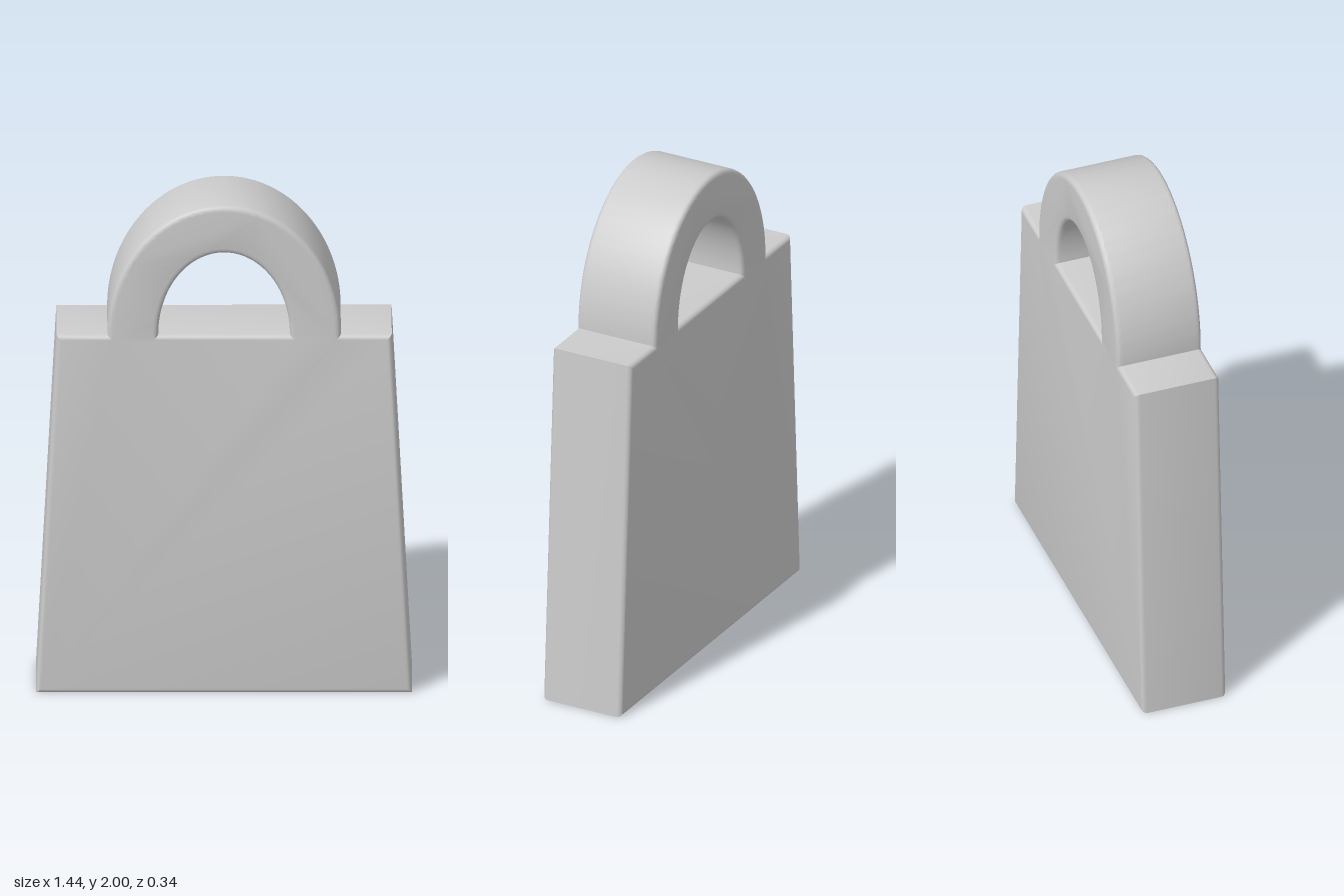
import * as THREE from 'three';
import { toCreasedNormals } from 'three/addons/utils/BufferGeometryUtils.js';

const BEVEL = 0.02, HALF_DEPTH = 0.172;
const SHOULDER = 1.47; // height where the handle meets the body

export function createModel() {
  const group = new THREE.Group();
  group.name = 'bag';

  // Silhouette: tapered body with an arched handle rising from its top edge
  const outline = new THREE.Shape();
  outline.moveTo(-0.72, 0);
  outline.lineTo(0.72, 0);
  outline.lineTo(0.642, SHOULDER);
  outline.lineTo(0.447, SHOULDER);
  outline.absellipse(0, SHOULDER, 0.447, 2 - SHOULDER, 0, Math.PI, false);
  outline.lineTo(-0.642, SHOULDER);
  outline.closePath();

  // Opening under the handle
  const opening = new THREE.Path();
  opening.moveTo(0.252, SHOULDER);
  opening.absellipse(0, SHOULDER, 0.252, 0.337, 0, Math.PI, false);
  opening.closePath();
  outline.holes.push(opening);

  // Solid slab with softly rounded front and back edges
  const geometry = new THREE.ExtrudeGeometry(outline, {
    depth: 2 * (HALF_DEPTH - BEVEL),
    bevelEnabled: true,
    bevelThickness: BEVEL,
    bevelSize: BEVEL,
    bevelOffset: -BEVEL,
    bevelSegments: 4,
    curveSegments: 40,
  });
  geometry.translate(0, 0, BEVEL - HALF_DEPTH);

  const bag = new THREE.Mesh(
    toCreasedNormals(geometry, Math.PI / 6),
    new THREE.MeshStandardMaterial({ color: 0xcccccc })
  );
  bag.name = 'bodyAndHandle';
  group.add(bag);
  return group;
}
